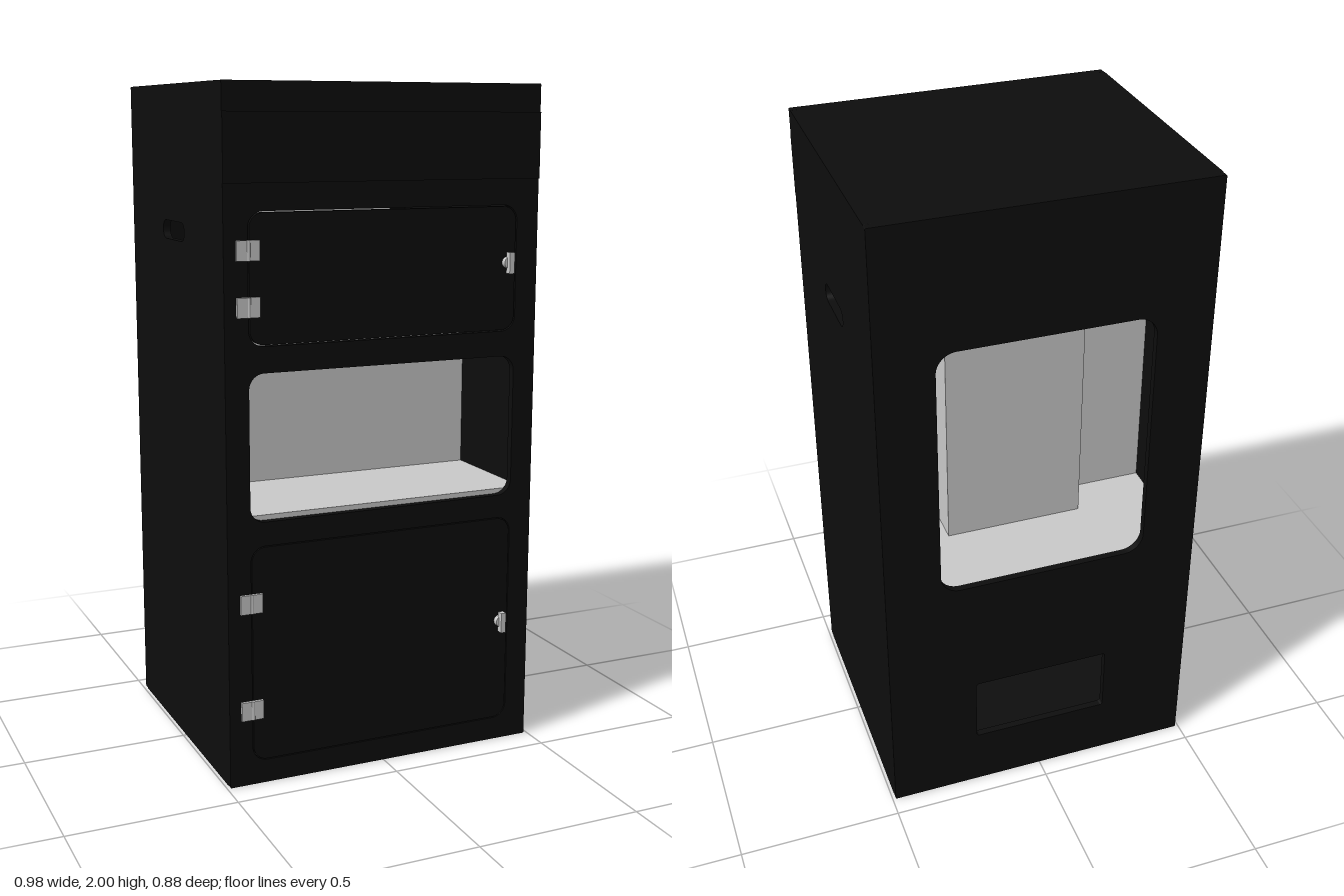
import * as THREE from 'three';

const black = new THREE.MeshStandardMaterial({ color: 0x0d0d0d });
const grey = new THREE.MeshStandardMaterial({ color: 0xcccccc });
const W = 0.49, BACK = -0.44, FRONT = 0.41, T = 0.022;

// Rounded rectangle outline from x0..x1, y0..y1
function roundedRect(path, x0, x1, y0, y1, r) {
  path.moveTo(x0 + r, y0);
  path.lineTo(x1 - r, y0);
  path.absarc(x1 - r, y0 + r, r, -Math.PI / 2, 0);
  path.lineTo(x1, y1 - r);
  path.absarc(x1 - r, y1 - r, r, 0, Math.PI / 2);
  path.lineTo(x0 + r, y1);
  path.absarc(x0 + r, y1 - r, r, Math.PI / 2, Math.PI);
  path.lineTo(x0, y0 + r);
  path.absarc(x0 + r, y0 + r, r, Math.PI, Math.PI * 1.5);
  return path;
}

export function createModel() {
  const model = new THREE.Group();

  const add = (name, geometry, material, x = 0, y = 0, z = 0) => {
    const mesh = new THREE.Mesh(geometry, material);
    mesh.name = name;
    mesh.position.set(x, y, z);
    model.add(mesh);
    return mesh;
  };
  // Box given by its limits on each axis
  const box = (name, material, [x0, x1], [y0, y1], [z0, z1]) =>
    add(name, new THREE.BoxGeometry(x1 - x0, y1 - y0, z1 - z0), material,
      (x0 + x1) / 2, (y0 + y1) / 2, (z0 + z1) / 2);
  // Flat plate with rounded openings, each [x0, x1, y0, y1, r]
  const plate = (name, outline, holes, depth) => {
    const shape = roundedRect(new THREE.Shape(), ...outline);
    for (const h of holes) shape.holes.push(roundedRect(new THREE.Path(), ...h));
    return add(name, new THREE.ExtrudeGeometry(shape, { depth, bevelEnabled: false, curveSegments: 8 }), black);
  };

  // Cabinet walls
  const upperDoor = [-0.42, 0.42, 1.285, 1.655, 0.045];
  const lowerDoor = [-0.42, 0.42, 0.07, 0.715, 0.045];
  const window_ = [-0.42, 0.42, 0.785, 1.21, 0.045];
  plate('frontWall', [-W, W, 0, 2, 0.003], [upperDoor, window_, lowerDoor], T).position.z = FRONT - T;
  plate('backWall', [-W, W, 0, 2, 0.003],
    [[-0.32, 0.32, 0.8, 1.61, 0.06], [-0.215, 0.215, 0.19, 0.41, 0.01]], T).position.z = BACK;
  for (const side of [1, -1]) {
    // Side wall with its grip slot; the shape's x runs along -z
    const wall = plate(side > 0 ? 'leftWall' : 'rightWall',
      [-FRONT + T, -BACK - T, 0, 2, 0.001], [[-0.075, 0.125, 1.55, 1.605, 0.027]], T);
    wall.rotation.y = Math.PI / 2;
    wall.position.x = side > 0 ? W - T : -W;
  }
  const inX = [-W + T, W - T], inZ = [BACK + T, FRONT - T];
  box('roof', black, inX, [2 - T, 2], inZ);
  box('floor', black, inX, [0, T], inZ);
  box('headerPanel', black, [-W, W], [1.73, 1.92], [FRONT, FRONT + 0.004]);

  // Doors, set in their openings with a narrow gap
  const door = (name, [x0, x1, y0, y1, r], gap) => {
    plate(name, [x0 + gap, x1 - gap, y0 + gap, y1 - gap, r - gap], [], T).position.z = FRONT - T;
  };
  door('upperDoor', upperDoor, 0.004);
  door('lowerDoor', lowerDoor, 0.003);

  // Hinges and turn locks
  for (const y of [0.23, 0.55, 1.395, 1.55]) {
    box('hinge', grey, [-0.455, -0.388], [y - 0.028, y + 0.028], [FRONT, FRONT + 0.009]);
    const pin = add('hingePin', new THREE.CylinderGeometry(0.006, 0.006, 0.056, 12), grey, -0.42, y, FRONT + 0.006);
    pin.scale.z = 0.8;
  }
  for (const y of [0.387, 1.488]) {
    const lock = add('lock', new THREE.CylinderGeometry(0.017, 0.017, 0.016, 20), grey, 0.39, y, FRONT + 0.008);
    lock.rotation.x = Math.PI / 2;
    box('lockHandle', grey, [0.382, 0.398], [y - 0.031, y + 0.031], [FRONT + 0.01, FRONT + 0.03]);
  }

  // Inner shelf, partition, equipment box and support rails
  box('shelf', grey, inX, [0.775, 0.8], inZ);
  box('partition', grey, inX, [0.8, 1.47], [-0.06, 0.01]);
  box('equipmentBox', grey, [-0.215, 0.215], [0.8, 1.65], [-0.18, -0.015]);
  for (const side of [1, -1]) {
    const a = side * 0.4, b = side * (W - T);
    box('supportRail', grey, [Math.min(a, b), Math.max(a, b)], [1.735, 1.745], inZ);
  }

  return model;
}
